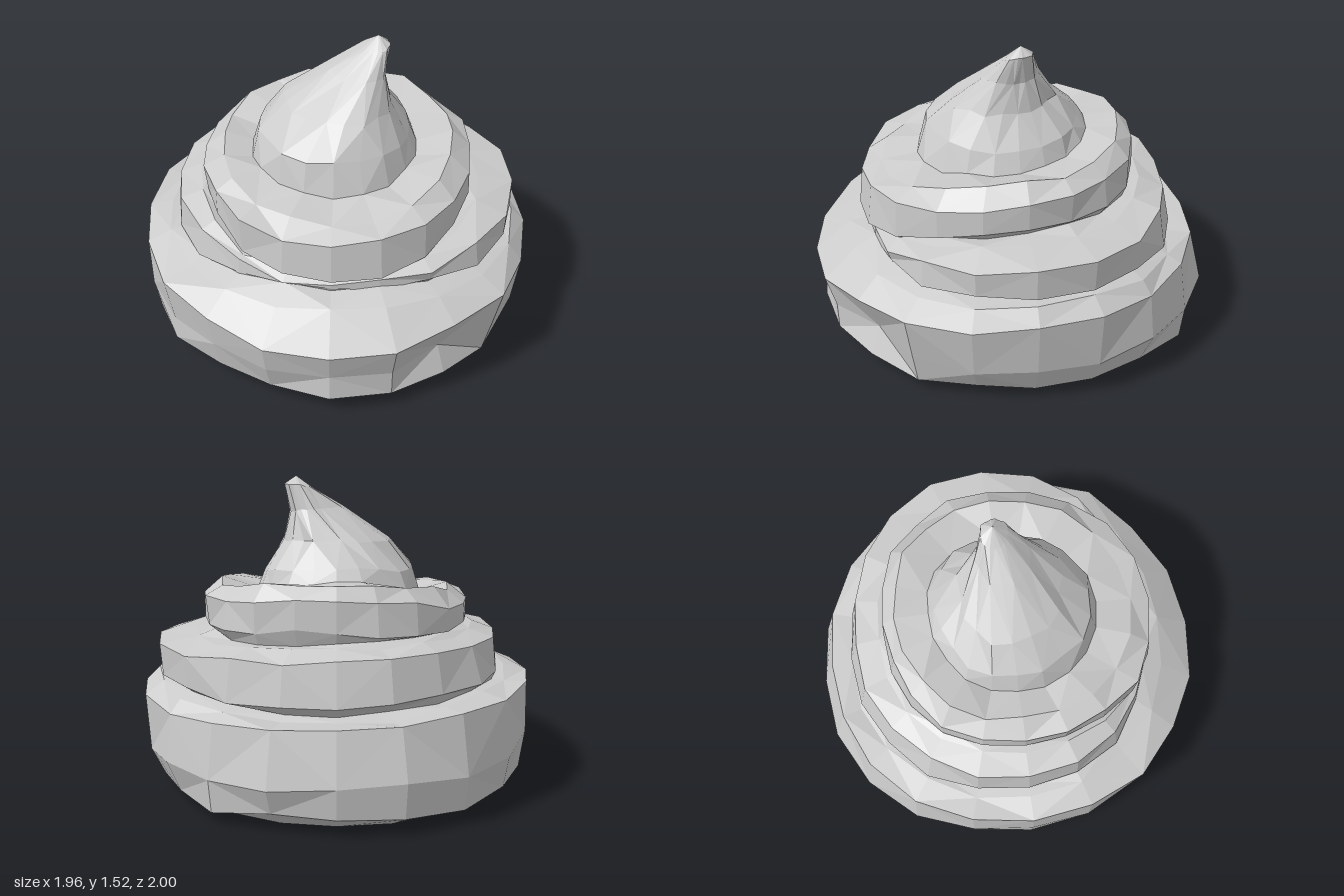
import * as THREE from 'three';

const SIDES = 20;

// Each ring row: radius, height toward +x, +z, -x, -z.
const base = [
  [0, 0, 0, 0, 0, 0, 0, 0],
  [0.78, 0, 0.83, 0, 0.76, 0, 0.83, 0],
  [0.88, 0.05, 0.97, 0.10, 0.95, 0.08, 0.98, 0.09],
  [0.95, 0.20, 0.96, 0.23, 0.97, 0.27, 1.0, 0.24],
  [0.98, 0.47, 1.0, 0.38, 0.98, 0.52, 0.93, 0.49],
  [0.91, 0.54, 0.82, 0.53, 0.86, 0.55, 0.82, 0.49],
  [0.83, 0.54, 0.71, 0.55, 0.79, 0.55, 0.77, 0.50],
];
// Coil that thins out toward the front, where the next one rests on the base
const lowerCoil = [
  base[6],
  [0.90, 0.57, 0.72, 0.57, 0.82, 0.58, 0.82, 0.55],
  [0.90, 0.72, 0.72, 0.59, 0.80, 0.74, 0.77, 0.76],
  [0.72, 0.75, 0.70, 0.60, 0.69, 0.78, 0.65, 0.79],
  [0.63, 0.76, 0.68, 0.61, 0.63, 0.78, 0.60, 0.80],
];
const upperCoil = [
  lowerCoil[4],
  [0.67, 0.80, 0.76, 0.64, 0.66, 0.81, 0.62, 0.85],
  [0.67, 0.93, 0.74, 0.83, 0.66, 0.90, 0.61, 1.00],
  [0.58, 1.01, 0.64, 0.87, 0.56, 0.98, 0.55, 1.06],
  [0.40, 0.95, 0.46, 0.90, 0.42, 0.94, 0.38, 1.05],
];
const peak = [
  upperCoil[4],
  [0.36, 1.05, 0.41, 1.07, 0.38, 1.07, 0.35, 1.10],
  [0.22, 1.20, 0.29, 1.20, 0.31, 1.21, 0.21, 1.22],
  [0.08, 1.34, 0.16, 1.35, 0.17, 1.37, 0.10, 1.36],
  [0.06, 1.48, 0.07, 1.46, 0.08, 1.46, 0.06, 1.48],
  [0, 1.52, 0, 1.52, 0, 1.52, 0, 1.52],
];

// Hollows in the front of the base: angle, height, depth
const dents = [
  [0.95, 0.22, 0.09],
  [2.1, 0.08, 0.07],
];

// Repeatable noise in -1..1
function noise(a, b) {
  const s = Math.sin(a * 127.1 + b * 311.7) * 43758.5453;
  return (s - Math.floor(s)) * 2 - 1;
}

// Point on a ring, blended smoothly between the four directions
function ringPoint(row, side) {
  const i = side % SIDES;
  const step = (i / SIDES) * 4;
  const q = Math.floor(step);
  const t = (1 - Math.cos((step - q) * Math.PI)) / 2;
  const n = ((q + 1) % 4) * 2;
  const a = (step * Math.PI) / 2;
  let r = THREE.MathUtils.lerp(row[q * 2], row[n], t);
  let y = THREE.MathUtils.lerp(row[q * 2 + 1], row[n + 1], t);
  const mean = (row[1] + row[3] + row[5] + row[7]) / 4;

  // unevenness between the four directions; the underside stays flat
  if (step !== q) {
    const rough = 0.02 + 0.08 * THREE.MathUtils.smoothstep(mean, 0.95, 1.25);
    r *= 1 + 0.02 * Math.sin(2 * a) ** 2 + rough * noise(i, mean * 10);
    if (mean > 0) y += 0.035 * Math.min(r, 0.7) * noise(mean * 7, i + 5);
  }
  for (const [angle, height, depth] of dents) {
    r -= r * depth * Math.exp(-(((a - angle) / 0.25) ** 2) - ((mean - height) / 0.1) ** 2);
  }
  // the peak leans toward its tip
  const lean = THREE.MathUtils.smoothstep(mean, 1.08, 1.5);
  return new THREE.Vector3(r * Math.cos(a) + 0.2 * lean, y, r * Math.sin(a) - 0.03 * lean);
}

// Faceted skin through a stack of rings
function skin(rows, name, material) {
  const pos = [];
  const tri = (...pts) => pts.forEach((p) => pos.push(p.x, p.y, p.z));
  for (let j = 0; j < rows.length - 1; j++) {
    for (let i = 0; i < SIDES; i++) {
      const a = ringPoint(rows[j], i + 1), b = ringPoint(rows[j], i);
      const c = ringPoint(rows[j + 1], i), d = ringPoint(rows[j + 1], i + 1);
      if (rows[j][0] === 0) tri(b, c, d);
      else if (rows[j + 1][0] === 0) tri(a, b, c);
      else if ((i + j) % 2) { tri(a, b, c); tri(a, c, d); }
      else { tri(a, b, d); tri(b, c, d); }
    }
  }
  const g = new THREE.BufferGeometry();
  g.setAttribute('position', new THREE.Float32BufferAttribute(pos, 3));
  g.computeVertexNormals();
  const mesh = new THREE.Mesh(g, material);
  mesh.name = name;
  return mesh;
}

export function createModel() {
  const group = new THREE.Group();
  group.name = 'swirl';
  const material = new THREE.MeshStandardMaterial({ color: 0xcccccc, flatShading: true });
  const parts = { base, lowerCoil, upperCoil, peak };
  for (const name in parts) group.add(skin(parts[name], name, material));
  return group;
}
